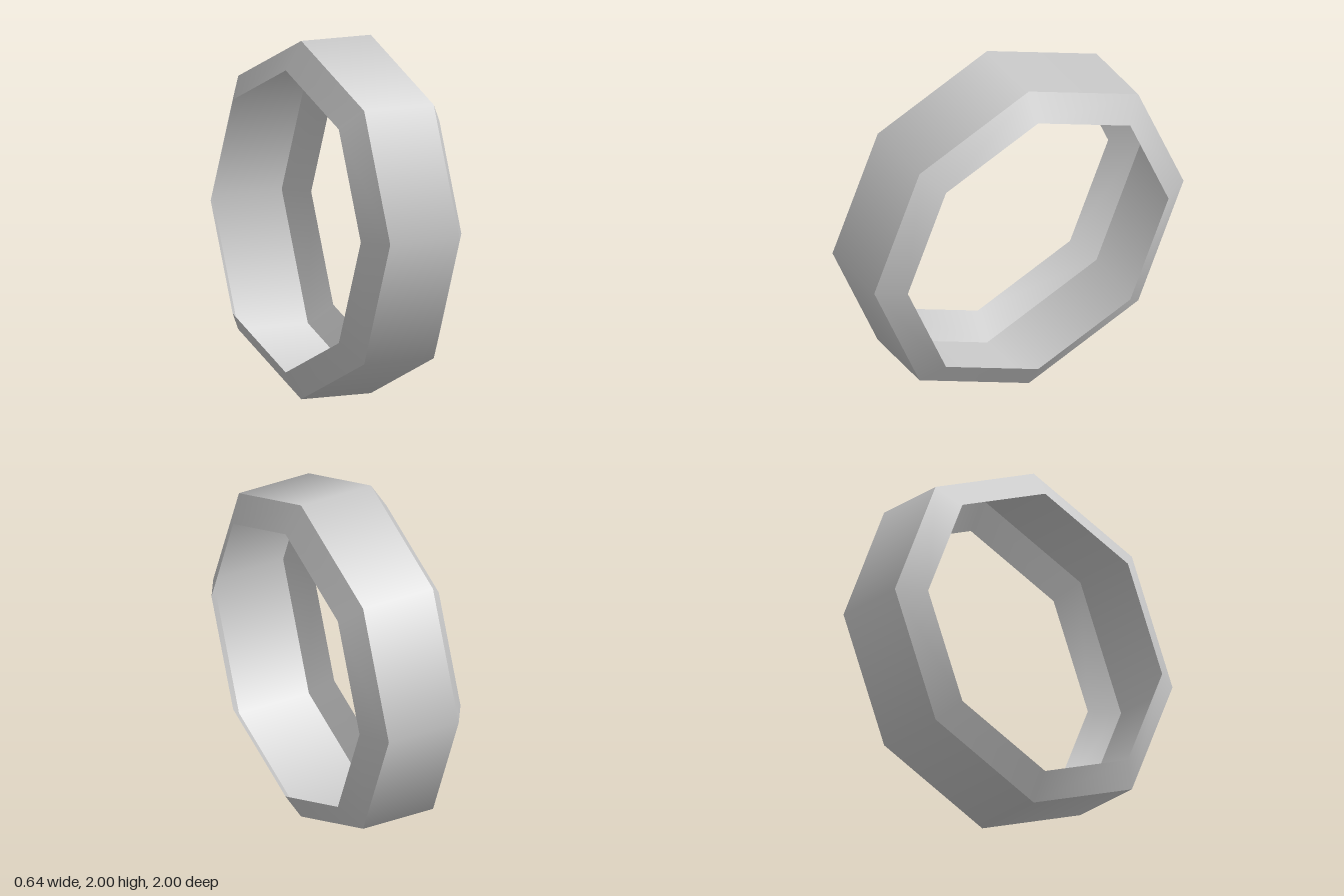
import * as THREE from 'three';

const SIDES = 8;
const OUTER = 1, INNER = 0.843;   // corner radii of the band and of its openings
const BAND = 0.22, EDGE = 0.318;  // half widths of the flat band and of the whole ring

export function createModel() {
  const group = new THREE.Group();
  const material = new THREE.MeshStandardMaterial({ color: 0xcccccc, side: THREE.DoubleSide });

  // Open eight-sided strip around the x axis, from x0 (radius r0) to x1 (radius r1)
  function addStrip(name, x0, r0, x1, r1) {
    const geometry = new THREE.CylinderGeometry(r1, r0, x1 - x0, SIDES, 1, true);
    geometry.rotateZ(-Math.PI / 2);
    geometry.translate((x0 + x1) / 2, OUTER, 0);
    const mesh = new THREE.Mesh(geometry, material);
    mesh.name = name;
    group.add(mesh);
  }

  // Hollow shell: flat band with a bevelled lip on each side
  addStrip('outerBand', -BAND, OUTER, BAND, OUTER);
  addStrip('leftBevel', BAND, OUTER, EDGE, INNER);
  addStrip('rightBevel', -EDGE, INNER, -BAND, OUTER);

  group.name = 'octagonalRing';
  return group;
}
